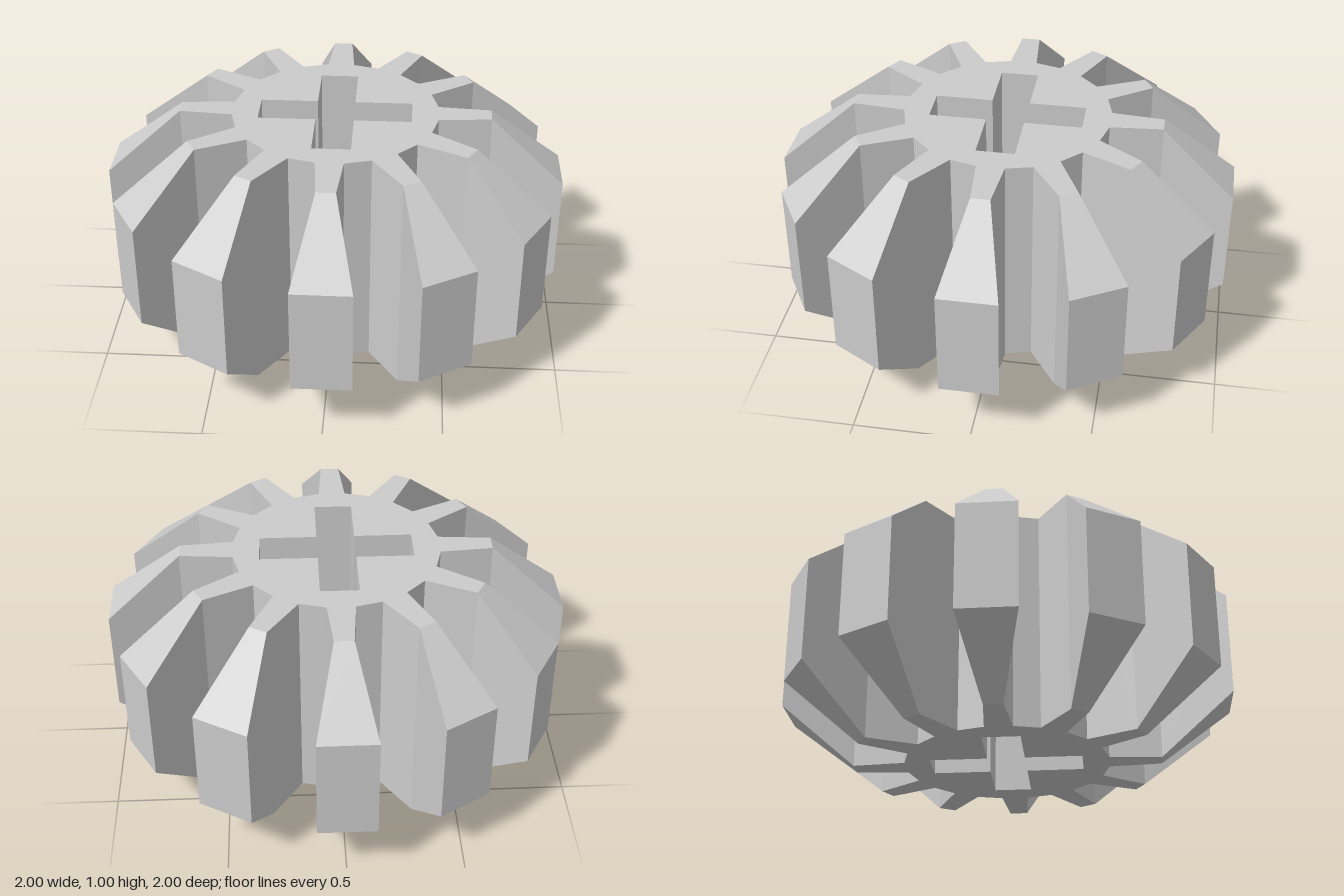
import * as THREE from 'three';

const TEETH = 12;
const HEIGHT = 1;
const ROOT = { r: 0.45, w: 0.06 };   // tooth root: radius, half width
const NECK = { r: 0.68, w: 0.041 };  // narrowest point, where the slopes begin
const TIP = { r: 1, w: 0.126 };      // flat outer end
const CHAMFER = 0.265;

const material = new THREE.MeshStandardMaterial({ color: 0xcccccc, flatShading: true });

// Star-shaped core with a cross-shaped through hole
function createHub() {
  const points = [];
  for (let i = 0; i < TEETH; i++) {
    const a = (i / TEETH) * Math.PI * 2;
    const corners = [[ROOT.r, -ROOT.w], [NECK.r, -NECK.w], [NECK.r, NECK.w], [ROOT.r, ROOT.w]];
    for (const [r, w] of corners) {
      points.push(new THREE.Vector2(r, w).rotateAround(new THREE.Vector2(), a));
    }
  }
  const shape = new THREE.Shape(points);

  const l = 0.334, s = 0.083;
  const cross = [];
  for (let i = 0; i < 4; i++) {
    for (const [x, y] of [[s, s], [l, s], [l, -s]]) {
      cross.push(new THREE.Vector2(x, y).rotateAround(new THREE.Vector2(), -i * Math.PI / 2));
    }
  }
  shape.holes.push(new THREE.Path(cross));

  const geometry = new THREE.ExtrudeGeometry(shape, { depth: HEIGHT, bevelEnabled: false });
  geometry.rotateX(-Math.PI / 2);
  const hub = new THREE.Mesh(geometry, material);
  hub.name = 'hub';
  return hub;
}

// Side profile extruded across, then flared from neck to tip
function createToothGeometry() {
  const profile = new THREE.Shape([
    new THREE.Vector2(NECK.r, 0),
    new THREE.Vector2(TIP.r, CHAMFER),
    new THREE.Vector2(TIP.r, HEIGHT - CHAMFER),
    new THREE.Vector2(NECK.r, HEIGHT),
  ]);
  const geometry = new THREE.ExtrudeGeometry(profile, { depth: 2, bevelEnabled: false });
  geometry.translate(0, 0, -1);
  const p = geometry.attributes.position;
  for (let i = 0; i < p.count; i++) {
    const t = (p.getX(i) - NECK.r) / (TIP.r - NECK.r);
    p.setZ(i, p.getZ(i) * THREE.MathUtils.lerp(NECK.w, TIP.w, t));
  }
  geometry.computeVertexNormals();
  return geometry;
}

export function createModel() {
  const model = new THREE.Group();
  model.name = 'ribbedWheel';
  model.add(createHub());

  // Flared teeth around the hub
  const toothGeometry = createToothGeometry();
  for (let i = 0; i < TEETH; i++) {
    const tooth = new THREE.Mesh(toothGeometry, material);
    tooth.name = `tooth${i + 1}`;
    tooth.rotation.y = (i / TEETH) * Math.PI * 2;
    model.add(tooth);
  }
  return model;
}
